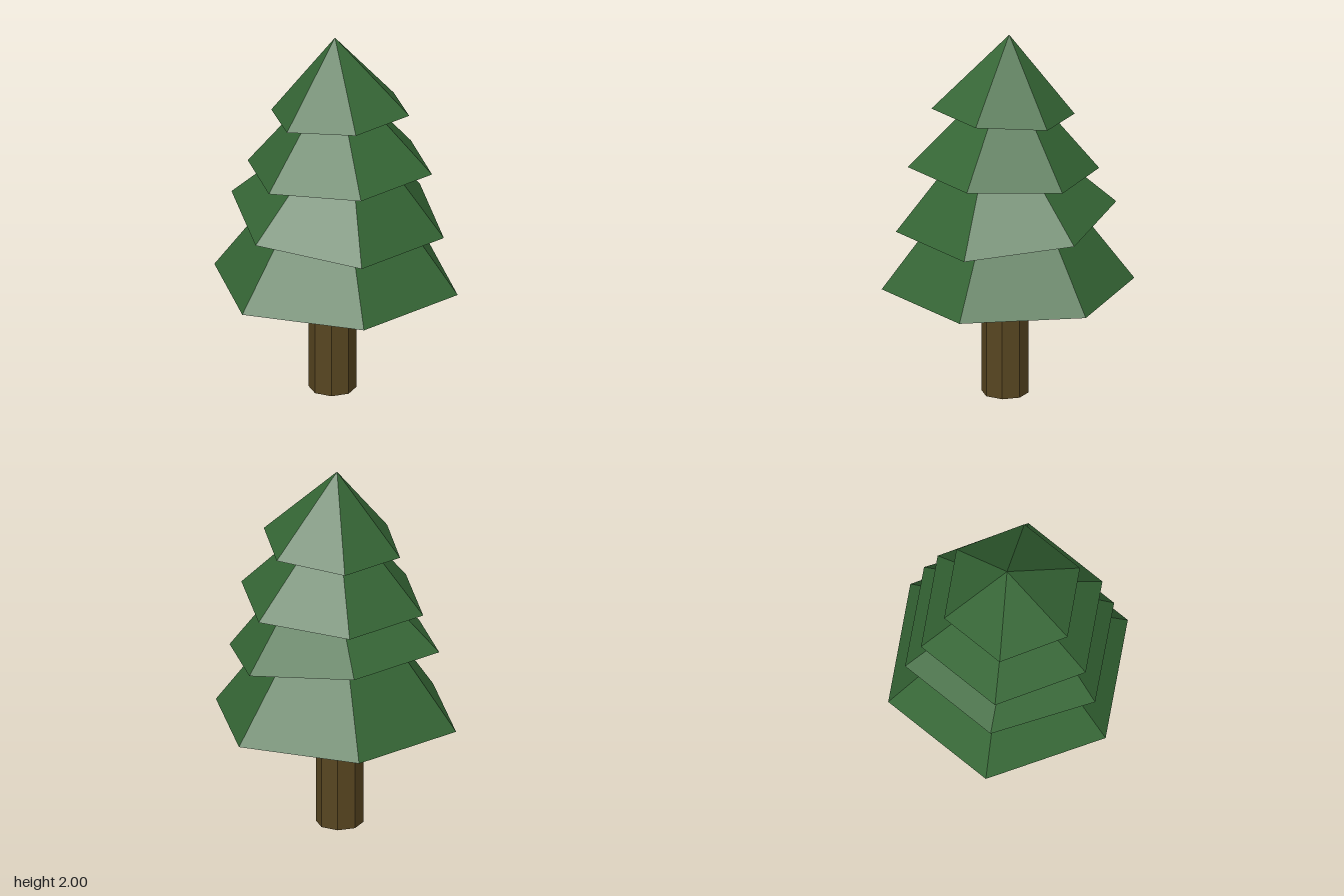
import * as THREE from 'three';

export function createModel() {
  const tree = new THREE.Group();
  tree.name = 'pineTree';

  const bark = new THREE.MeshStandardMaterial({ color: 0x574520, flatShading: true });
  const needles = new THREE.MeshStandardMaterial({ color: 0x356635, flatShading: true });

  // Octagonal trunk, slightly off centre
  const trunkHeight = 0.65;
  const trunk = new THREE.Mesh(new THREE.CylinderGeometry(0.125, 0.125, trunkHeight, 8), bark);
  trunk.name = 'trunk';
  trunk.position.set(-0.025, trunkHeight / 2, 0);
  tree.add(trunk);

  // Six-sided foliage cones, each tilted about the centre of its base
  const tiers = [
    { name: 'bottomFoliage', radius: 0.67, height: 0.9, y: 0.61, z: 0, tilt: 0 },
    { name: 'lowerFoliage', radius: 0.587, height: 0.64, y: 0.988, z: 0.013, tilt: 0.114 },
    { name: 'upperFoliage', radius: 0.508, height: 0.56, y: 1.266, z: 0.03, tilt: -0.06 },
    { name: 'topFoliage', radius: 0.381, height: 0.42, y: 1.582, z: 0.033, tilt: -0.098 },
  ];
  for (const { name, radius, height, y, z, tilt } of tiers) {
    const cone = new THREE.ConeGeometry(radius, height, 6);
    cone.rotateY(Math.PI / 6); // corners point left and right
    cone.translate(0, height / 2, 0);
    const tier = new THREE.Mesh(cone, needles);
    tier.name = name;
    tier.position.set(0, y, z);
    tier.rotation.x = tilt;
    tree.add(tier);
  }

  return tree;
}
